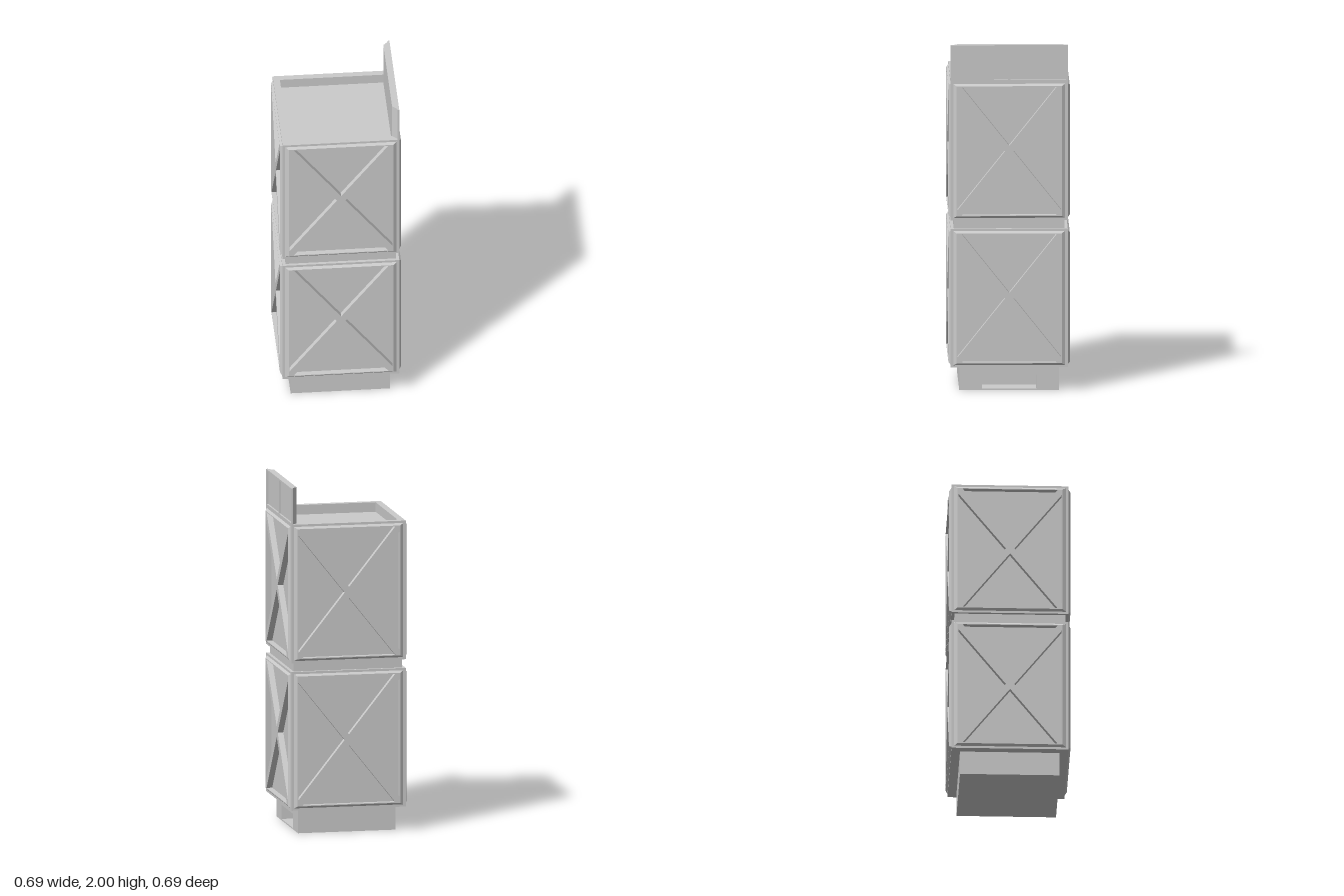
import * as THREE from 'three';

const grey = new THREE.MeshStandardMaterial({ color: 0xcccccc, flatShading: true });

function mesh(name, geo) {
  const m = new THREE.Mesh(geo, grey);
  m.name = name;
  return m;
}

// Box given by half width, bottom and top heights
function block(name, half, y0, y1) {
  return mesh(name, new THREE.BoxGeometry(half * 2, y1 - y0, half * 2).translate(0, (y0 + y1) / 2, 0));
}

const poly = pts => new THREE.Shape(pts.map(p => new THREE.Vector2(...p)));
const rect = (x, y, cx = 0, cy = 0) => [[cx - x, cy - y], [cx + x, cy - y], [cx + x, cy + y], [cx - x, cy + y]];
const extrude = (shape, depth) => new THREE.ExtrudeGeometry(shape, { depth, bevelEnabled: false });

// Plan outline (x, z) extruded upwards
function upright(name, shape, y0, y1) {
  return mesh(name, extrude(shape, y1 - y0).rotateX(-Math.PI / 2).translate(0, y0, 0));
}

const H = 0.4;      // half height of a module
const W = 0.333;    // half width of a module
const CORE = 0.312; // half width of the recessed wall panels

// The four triangular openings that leave a cross brace
function braceHoles() {
  const hw = 0.294, hh = 0.37, v = 0.031, m = hh / hw;
  const holes = [];
  for (const s of [1, -1]) {
    holes.push(poly([[0, s * v], [(hh - v) / m, s * hh], [-(hh - v) / m, s * hh]]));
    holes.push(poly([[s * v / m, 0], [s * hw, m * hw - v], [s * hw, v - m * hw]]));
  }
  return holes;
}

// Braced layer whose outer outline changes from back to front
function bracedLayer(name, z0, z1, back, front) {
  const shape = poly(rect(...back));
  shape.holes = braceHoles();
  const geo = extrude(shape, z1 - z0);
  const p = geo.attributes.position;
  for (let i = 0; i < p.count; i++) {
    const x = p.getX(i), y = p.getY(i);
    const outer = Math.abs(Math.abs(x) - back[0]) < 1e-5 && Math.abs(Math.abs(y) - back[1]) < 1e-5;
    if (outer && p.getZ(i) > 1e-4) p.setXY(i, Math.sign(x) * front[0], Math.sign(y) * front[1]);
  }
  geo.computeVertexNormals();
  return mesh(name, geo.translate(0, 0, z0));
}

// Square module: core with four mitred, braced side frames
function createModule(name, y0, coreTop) {
  const g = new THREE.Group();
  g.name = name;
  g.add(block('wallPanels', CORE, y0, coreTop));
  for (let i = 0; i < 4; i++) {
    const side = new THREE.Group();
    side.name = 'braceFrame';
    side.add(bracedLayer('frame', CORE, W, [CORE, H], [W, H]));
    side.add(bracedLayer('bevelledBrace', W, 0.345, [0.318, 0.387], [0.299, 0.375]));
    side.position.y = y0 + H;
    side.rotation.y = i * Math.PI / 2;
    g.add(side);
  }
  return g;
}

export function createModel() {
  const model = new THREE.Group();
  model.name = 'stackedTower';

  // Plinth with a slot in its left side
  const b = 0.283, s = 0.155, inner = 0.15;
  const plinth = new THREE.Group();
  plinth.name = 'plinth';
  plinth.add(block('plinthFloor', b, 0, 0.008));
  plinth.add(upright('plinthWalls', poly([
    [-b, -b], [b, -b], [b, -s], [inner, -s], [inner, s], [b, s], [b, b], [-b, b],
  ]), 0.008, 0.09));
  plinth.add(block('plinthTop', b, 0.09, 0.14));
  model.add(plinth);

  // Two modules joined by a neck
  model.add(createModule('lowerModule', 0.14, 0.94));
  model.add(block('neck', 0.315, 0.94, 0.99));
  model.add(createModule('upperModule', 0.99, 1.735));

  // Rim around the sunken roof
  const rim = poly(rect(CORE, CORE));
  rim.holes.push(poly(rect(0.295, 0.295)));
  model.add(upright('roofRim', rim, 1.735, 1.79));

  // Mitred parapet on the left edge of the roof
  const face = 0.323;
  model.add(upright('parapet', poly([[0.295, -0.295], [face, -face], [face, face], [0.295, 0.295]]), 1.79, 2));

  // Thin border and divider on the outside of the parapet
  const border = poly(rect(W, 0.105));
  for (const c of [-1, 1]) border.holes.push(poly(rect(0.158, 0.096, c * 0.166, 0)));
  model.add(mesh('parapetBorder', extrude(border, W - face).rotateY(Math.PI / 2).translate(face, 1.895, 0)));

  return model;
}
